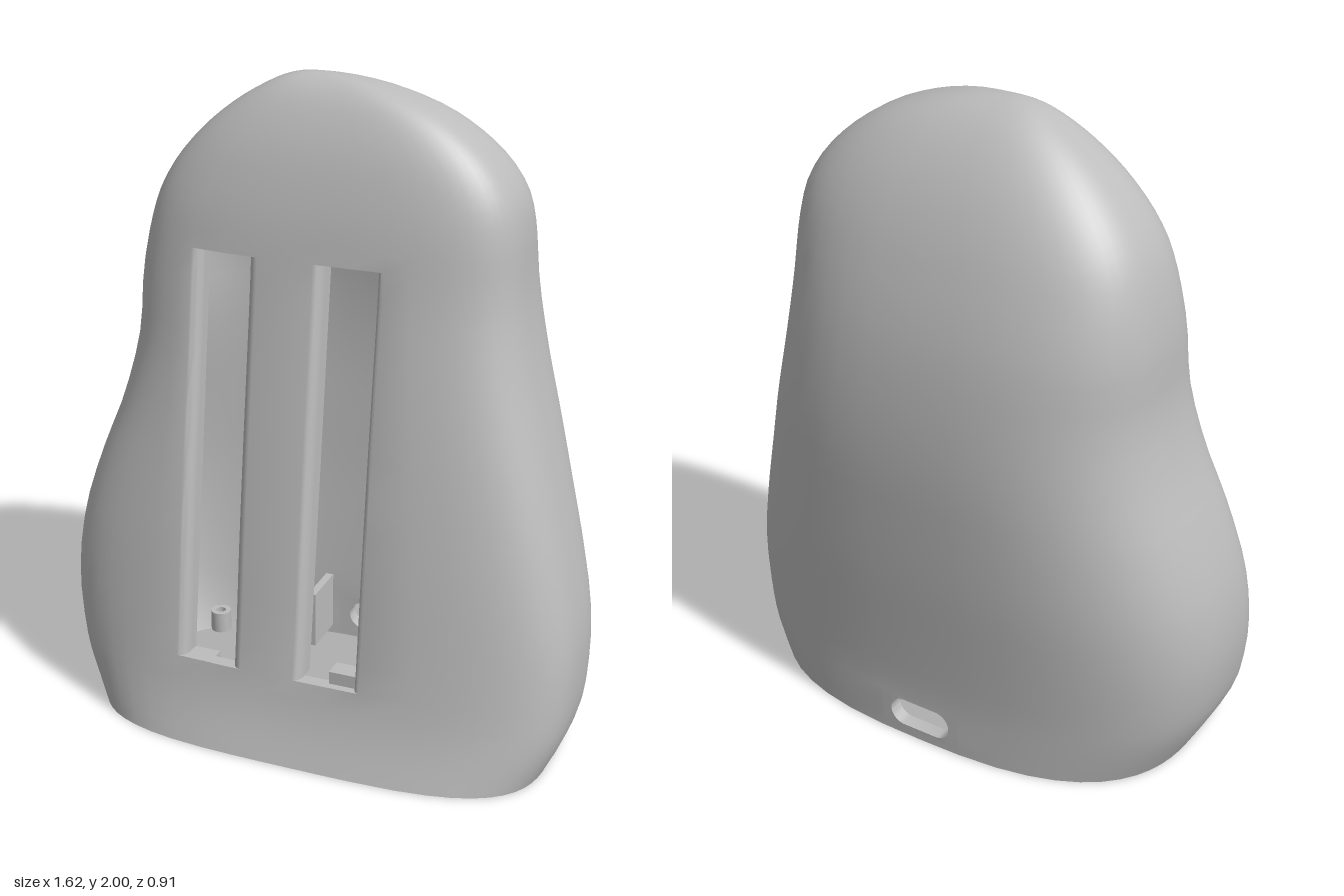
import * as THREE from 'three';
import { mergeGeometries, toCreasedNormals } from 'three/addons/utils/BufferGeometryUtils.js';

// Body outline by height: y, right edge x, left edge x, front z, back z, z of the widest line
const PROFILE = [
  [0, -0.7, 0.74, 0.455, -0.405, 0.08], [0.1, -0.752, 0.785, 0.42, -0.405, 0.075],
  [0.2, -0.79, 0.805, 0.395, -0.406, 0.07], [0.4, -0.815, 0.805, 0.365, -0.42, 0.055],
  [0.6, -0.795, 0.768, 0.34, -0.436, 0.04], [0.8, -0.735, 0.718, 0.313, -0.446, 0.02],
  [1.0, -0.66, 0.665, 0.285, -0.452, -0.01], [1.2, -0.612, 0.613, 0.255, -0.442, -0.035],
  [1.4, -0.602, 0.575, 0.225, -0.412, -0.055], [1.6, -0.558, 0.56, 0.197, -0.352, -0.055],
  [1.7, -0.51, 0.535, 0.175, -0.312, -0.05], [1.8, -0.43, 0.465, 0.145, -0.26, -0.04],
  [1.9, -0.315, 0.335, 0.1, -0.187, -0.03], [1.95, -0.235, 0.22, 0.068, -0.135, -0.022],
  [1.985, -0.16, 0.09, 0.031, -0.078, -0.017], [2, -0.07, -0.07, -0.015, -0.015, -0.015],
];
const sOf = (y) => Math.asin(Math.min(1, y / 2)) / (Math.PI / 2);
const KNOTS = PROFILE.map((p) => sOf(p[0]));

// Cubic interpolation of one profile column
function profile(y, c) {
  const s = sOf(y), n = KNOTS.length;
  let i = 0;
  while (i < n - 2 && s > KNOTS[i + 1]) i++;
  const slope = (k) => {
    const a = Math.max(0, k - 1), b = Math.min(n - 1, k + 1);
    return (PROFILE[b][c] - PROFILE[a][c]) / (KNOTS[b] - KNOTS[a]);
  };
  const h = KNOTS[i + 1] - KNOTS[i], t = (s - KNOTS[i]) / h, t2 = t * t, t3 = t2 * t;
  return (2 * t3 - 3 * t2 + 1) * PROFILE[i][c] + (t3 - 2 * t2 + t) * h * slope(i)
    + (3 * t2 - 2 * t3) * PROFILE[i + 1][c] + (t3 - t2) * h * slope(i + 1);
}

const SLOT_Y = [0.26, 1.505], SIDE = 14, FRONT_N = 3.5, BACK_N = 2.7;
const BACK_X = [-0.13, 0.01, 0.15], PATCH_Y = [0.015, 0.15];
// The slot edges flare outwards, so the two skins have different front columns
const OUTER = { kx: 1, kf: 1, kb: 1, drop: 0, cols: [-0.375, -0.2675, -0.16, -0.075, 0.01, 0.115, 0.22] };
const INNER = { kx: 0.945, kf: 0.87, kb: 0.905, drop: 0.045, cols: [-0.345, -0.2675, -0.19, -0.075, 0.035, 0.115, 0.2] };

function section(L, y) {
  const a = profile(y, 1), b = profile(y, 2), zc = profile(y, 5);
  return { xm: (a + b) / 2, hw: ((b - a) / 2) * L.kx, zc,
    f: (profile(y, 3) - zc) * L.kf, b: (profile(y, 4) - zc) * L.kb };
}
const bulge = (u, n) => Math.pow(Math.max(0, 1 - Math.pow(Math.abs(u), n)), 1 / n);
function surfaceZ(L, x, y, front) {
  const s = section(L, y), u = (x - s.xm) / s.hw;
  return s.zc + (front ? s.f * bulge(u, FRONT_N) : s.b * bulge(u, BACK_N));
}

// One closed ring of points, front from -x to +x, then back again
function ring(L, y) {
  const s = section(L, y), ref = section(L, Math.min(y, SLOT_Y[1]));
  const py = y > SLOT_Y[1] ? y - L.drop * (y - SLOT_Y[1]) / (2 - SLOT_Y[1]) : y;
  const half = (xs, n, depth) => {
    const us = xs.map((x) => (x - ref.xm) / ref.hw);
    const side = (u0, k) => Math.pow(Math.cos(
      Math.acos(Math.pow(Math.abs(u0), n / 2)) * Math.pow(k / SIDE, 1.6)), 2 / n);
    const list = [];
    for (let k = 0; k < SIDE; k++) list.push(-side(us[0], k));
    list.push(...us);
    for (let k = SIDE - 1; k >= 0; k--) list.push(side(us[us.length - 1], k));
    return list.map((u) => [s.xm + s.hw * u, py, s.zc + depth * bulge(u, n)]);
  };
  return [...half(L.cols, FRONT_N, s.f), ...half(BACK_X, BACK_N, s.b).slice(1, -1).reverse()];
}

function geometryFrom(pos) {
  const g = new THREE.BufferGeometry();
  g.setAttribute('position', new THREE.Float32BufferAttribute(pos, 3));
  return g;
}
// Grid of quads from rows of points; faces towards (along row) x (across rows)
function sheet(rows, flip = false, skip = () => false) {
  const pos = [];
  const tri = (a, b, c) => pos.push(...a, ...(flip ? c : b), ...(flip ? b : c));
  for (let i = 0; i < rows.length - 1; i++) for (let j = 0; j < rows[i].length - 1; j++) {
    if (skip(i, j)) continue;
    const a = rows[i][j], b = rows[i][j + 1], c = rows[i + 1][j + 1], d = rows[i + 1][j];
    tri(a, b, c);
    if (Math.hypot(c[0] - d[0], c[1] - d[1], c[2] - d[2]) > 1e-5) tri(a, c, d);
  }
  return geometryFrom(pos);
}

function shellGeometry() {
  const ys = [0, 0.015, 0.05, 0.1, 0.15, 0.2];
  for (let i = 0; i <= 16; i++) ys.push(SLOT_Y[0] + (SLOT_Y[1] - SLOT_Y[0]) * i / 16);
  const s0 = sOf(SLOT_Y[1]);
  for (let i = 1; i <= 20; i++) ys.push(i === 20 ? 2 : 2 * Math.sin((s0 + (1 - s0) * i / 20) * Math.PI / 2));
  const F = 2 * SIDE + OUTER.cols.length;
  const inside = (i, [a, b]) => ys[i] > a - 1e-6 && ys[i] < b - 1e-6;
  const skip = (i, j) =>
    (inside(i, SLOT_Y) && [0, 1, 4, 5].includes(j - SIDE)) ||
    (inside(i, PATCH_Y) && (j === F + SIDE - 1 || j === F + SIDE));
  const closed = (L) => ys.map((y) => { const r = ring(L, y); return [...r, r[0]]; });
  const outer = closed(OUTER), inner = closed(INNER);
  const parts = [sheet(outer, false, skip), sheet(inner, true, skip), sheet([outer[0], inner[0]], true)];

  // Rounded slot sides with flat ends
  const slotYs = ys.filter((y) => y > SLOT_Y[0] - 1e-6 && y < SLOT_Y[1] + 1e-6);
  const edge = (c, y) => {
    const xo = OUTER.cols[c], xi = INNER.cols[c];
    const zo = surfaceZ(OUTER, xo, y, true), zi = surfaceZ(INNER, xi, y, true);
    return [0, 1, 2, 3, 4, 5, 6].map((q) => {
      const t = q * Math.PI / 12;
      return [xo + (xi - xo) * Math.sin(t), y, zo + (zi - zo) * (1 - Math.cos(t))];
    });
  };
  for (const c of [0, 4]) {
    parts.push(sheet(slotYs.map((y) => edge(c, y))), sheet(slotYs.map((y) => edge(c + 2, y)), true));
    SLOT_Y.forEach((y, k) => {
      const right = edge(c + 2, y);
      parts.push(sheet(edge(c, y).map((p, i) => [p, right[i]]), k === 1));
    });
  }

  // Oval cable port through the back
  const loop = [];
  for (let i = 0; i < 32; i++) {
    const a = (i + 0.5) / 32 * Math.PI * 2;
    loop.push(new THREE.Vector2(0.01 + Math.sign(Math.cos(a)) * 0.058 + 0.048 * Math.cos(a), 0.083 + 0.048 * Math.sin(a)));
  }
  const [y0, y1] = PATCH_Y, [x0, xm, x1] = BACK_X;
  const patch = new THREE.Shape([[x0, y0], [xm, y0], [x1, y0], [x1, y1], [xm, y1], [x0, y1]].map((p) => new THREE.Vector2(...p)));
  patch.holes.push(new THREE.Path(loop));
  for (const L of [OUTER, INNER]) {
    const p = new THREE.ShapeGeometry(patch).toNonIndexed().attributes.position, pos = [];
    for (let i = 0; i < p.count; i += 3) for (const k of L === OUTER ? [0, 2, 1] : [0, 1, 2]) {
      const x = p.getX(i + k), y = p.getY(i + k);
      pos.push(x, y, surfaceZ(L, x, y, false));
    }
    parts.push(geometryFrom(pos));
  }
  const around = [...loop, loop[0]];
  parts.push(sheet([OUTER, INNER].map((L) => around.map((v) => [v.x, v.y, surfaceZ(L, v.x, v.y, false)])), true));
  return toCreasedNormals(mergeGeometries(parts), 0.6);
}

export function createModel() {
  const group = new THREE.Group();
  const grey = new THREE.MeshStandardMaterial({ color: 0xbcbcbc });
  grey.name = 'plain grey';
  const add = (name, geo, x = 0, y = 0, z = 0) => {
    const m = new THREE.Mesh(geo, grey);
    m.name = name;
    m.position.set(x, y, z);
    group.add(m);
    return m;
  };
  add('shell', shellGeometry());

  // Screw bosses around the open base
  const boss = toCreasedNormals(new THREE.LatheGeometry(
    [[0.016, 0.07], [0.016, 0], [0.034, 0], [0.034, 0.07], [0.016, 0.07]].map((p) => new THREE.Vector2(...p)), 20), 0.6);
  for (const [x, z] of [[0.47, -0.275], [0.35, -0.315], [0.23, -0.335], [-0.3, -0.315], [-0.42, -0.285],
    [-0.52, -0.235], [0.5, 0.33], [-0.48, 0.33]]) add('screwBoss', boss, x, 0.004, z);

  // Rails along the slot edges inside
  for (const x of [-0.364, -0.171, 0.016, 0.219]) {
    add('slotRail', new THREE.BoxGeometry(0.03, 1.26, 0.05), x, 0.88, 0.232).rotation.x = -0.142;
  }
  // Stop blocks at the foot of the slots, the left one reaching higher
  for (const [x, top] of [[-0.315, 0.255], [0.17, 0.3]]) {
    add('stopBlock', new THREE.BoxGeometry(0.1, top - 0.04, 0.06), x, (top + 0.04) / 2, 0.33);
  }
  // Ribs on the back wall
  for (const x of [-0.17, 0.16]) add('backRib', new THREE.BoxGeometry(0.025, 0.19, 0.18), x, 0.125, -0.29);
  return group;
}
